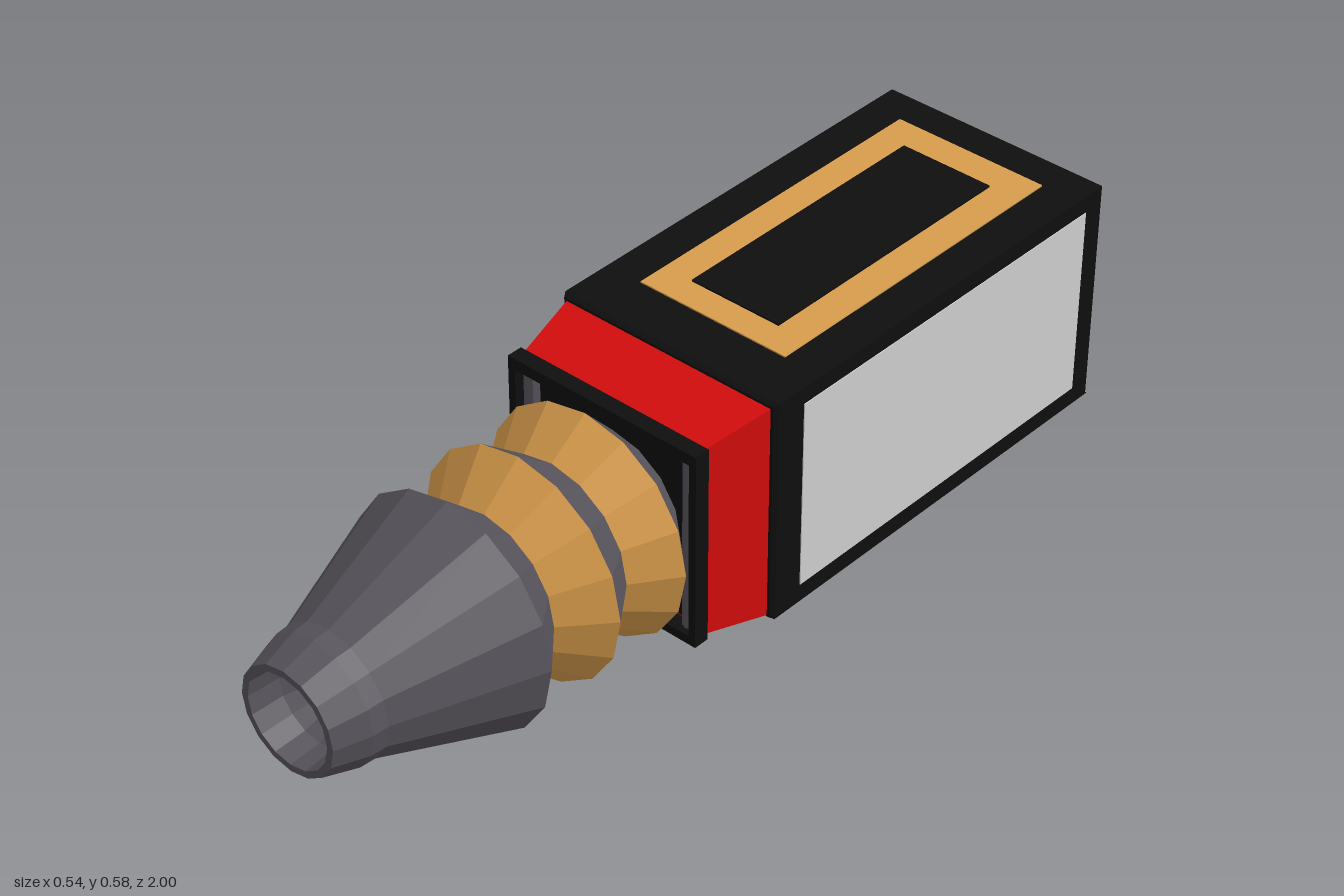
import * as THREE from 'three';

const mat = (name, color) => {
  const m = new THREE.MeshStandardMaterial({ color, flatShading: true });
  m.name = name;
  return m;
};

// Cross-section rectangles, counter-clockwise seen from the + end of the axis
const ringZ = (z, hw, y0, y1) => [[-hw, y0, z], [hw, y0, z], [hw, y1, z], [-hw, y1, z]];
const ringY = (y, hw, z0, z1) => [[-hw, y, z1], [hw, y, z1], [hw, y, z0], [-hw, y, z0]];

// Solid lofted through four-cornered sections, with both ends capped
function loft(rings) {
  const pos = [];
  const quad = (a, b, c, d) => pos.push(...a, ...b, ...c, ...a, ...c, ...d);
  for (let i = 0; i < rings.length - 1; i++) {
    for (let j = 0; j < 4; j++) {
      const k = (j + 1) % 4;
      quad(rings[i][j], rings[i][k], rings[i + 1][k], rings[i + 1][j]);
    }
  }
  const [a, b, c, d] = rings[0];
  quad(d, c, b, a);
  quad(...rings[rings.length - 1]);
  const g = new THREE.BufferGeometry();
  g.setAttribute('position', new THREE.Float32BufferAttribute(pos, 3));
  g.computeVertexNormals();
  return g;
}

export function createModel() {
  const group = new THREE.Group();
  const black = mat('black', 0x0e0e0e);
  const grey = mat('darkGrey', 0x57535b);
  const tan = mat('tan', 0xd89c4c);
  const red = mat('red', 0xd40c0c);
  const panel = mat('lightGrey', 0xcfcfcf);
  const magenta = mat('magenta', 0xd40cd4);

  const add = (name, geo, material) => {
    const m = new THREE.Mesh(geo, material);
    m.name = name;
    group.add(m);
    return m;
  };
  // Box given by its limits on each axis
  const box = (name, material, x0, x1, y0, y1, z0, z1) =>
    add(name, new THREE.BoxGeometry(x1 - x0, y1 - y0, z1 - z0), material)
      .position.set((x0 + x1) / 2, (y0 + y1) / 2, (z0 + z1) / 2);
  // Faceted part turned about the long axis, from [z, radius] pairs
  const turned = (name, material, profile) => {
    const g = new THREE.LatheGeometry(profile.map(([z, r]) => new THREE.Vector2(r, z)), 16);
    g.rotateX(Math.PI / 2).translate(0, 0.3, 0);
    return add(name, g, material);
  };

  // Main body with chamfered ends
  add('body', loft([
    ringZ(-0.975, 0.25, 0.085, 0.555), ringZ(-0.955, 0.266, 0.068, 0.573),
    ringZ(0.01, 0.266, 0.068, 0.573), ringZ(0.02, 0.26, 0.074, 0.567),
  ]), black);

  // Side panels
  for (const s of [-1, 1]) {
    const x = s * 0.266;
    box('sidePanel', panel, x - 0.002, x + 0.002, 0.11, 0.535, -0.905, -0.06);
  }

  // Top trim and raised plate
  box('topTrim', tan, -0.18, 0.18, 0.57, 0.576, -0.875, -0.105);
  box('topPlate', black, -0.108, 0.108, 0.572, 0.58, -0.8, -0.17);

  // Back trim, frame and panel
  add('backTrim', loft([
    ringZ(-0.99, 0.215, 0.115, 0.53), ringZ(-0.968, 0.256, 0.078, 0.563),
  ]), tan);
  add('backFrame', loft([
    ringZ(-0.998, 0.198, 0.128, 0.52), ringZ(-0.985, 0.208, 0.12, 0.526),
  ]), black);
  box('backPanel', panel, -0.178, 0.178, 0.148, 0.498, -1, -0.996);

  // Tapered underside with foot
  add('underside', loft([
    ringY(0.037, 0.178, -0.83, -0.28), ringY(0.068, 0.266, -0.96, 0.012),
  ]), black);
  box('foot', black, -0.178, 0.178, 0, 0.045, -0.82, -0.29);

  // Tan plate on the sloping front of the underside
  const slopeY = z => 0.037 + (z + 0.28) * (0.031 / 0.292);
  const plateRing = (z, hw) => ringZ(z, hw, slopeY(z) - 0.002, slopeY(z) + 0.002);
  add('undersidePlate', loft([plateRing(-0.2, 0.16), plateRing(-0.035, 0.203)]), tan);

  // Red collar and the black frame at its mouth
  add('collar', loft([
    ringZ(0.01, 0.256, 0.075, 0.563), ringZ(0.165, 0.225, 0.104, 0.536),
  ]), red);
  const outline = (path, hw, y0, y1) => path
    .moveTo(-hw, y0).lineTo(hw, y0).lineTo(hw, y1).lineTo(-hw, y1).lineTo(-hw, y0);
  const frame = new THREE.Shape();
  outline(frame, 0.234, 0.097, 0.541);
  const opening = new THREE.Path();
  outline(opening, 0.217, 0.117, 0.516);
  frame.holes.push(opening);
  add('collarFrame', new THREE.ExtrudeGeometry(frame, { depth: 0.035, bevelEnabled: false })
    .translate(0, 0, 0.165), black);

  // Recess behind the frame: backing, strip and side columns
  box('recessBacking', black, -0.21, 0.21, 0.123, 0.51, 0.163, 0.168);
  box('recessStrip', panel, -0.165, 0.165, 0.494, 0.508, 0.166, 0.17);
  for (const s of [-1, 1]) {
    add('recessColumn', new THREE.CylinderGeometry(0.017, 0.017, 0.395, 8), grey)
      .position.set(s * 0.199, 0.3165, 0.172);
  }

  // Bellows in alternating bands
  turned('bellowsRear', grey, [[0.16, 0.16], [0.24, 0.247]]);
  turned('bellowsBand', tan, [[0.24, 0.247], [0.33, 0.183]]);
  turned('bellowsMiddle', grey, [[0.33, 0.183], [0.415, 0.247]]);
  turned('bellowsBand', tan, [[0.415, 0.247], [0.505, 0.168]]);

  // Nozzle with hollow bore
  turned('nozzle', grey, [
    [0.505, 0.168], [0.595, 0.248], [0.89, 0.14], [0.925, 0.138], [1, 0.115],
    [1, 0.1], [0.93, 0.095], [0.9, 0.078], [0.5, 0.067],
  ]);
  add('boreLight', new THREE.CircleGeometry(0.068, 16), magenta).position.set(0, 0.3, 0.502);

  return group;
}
